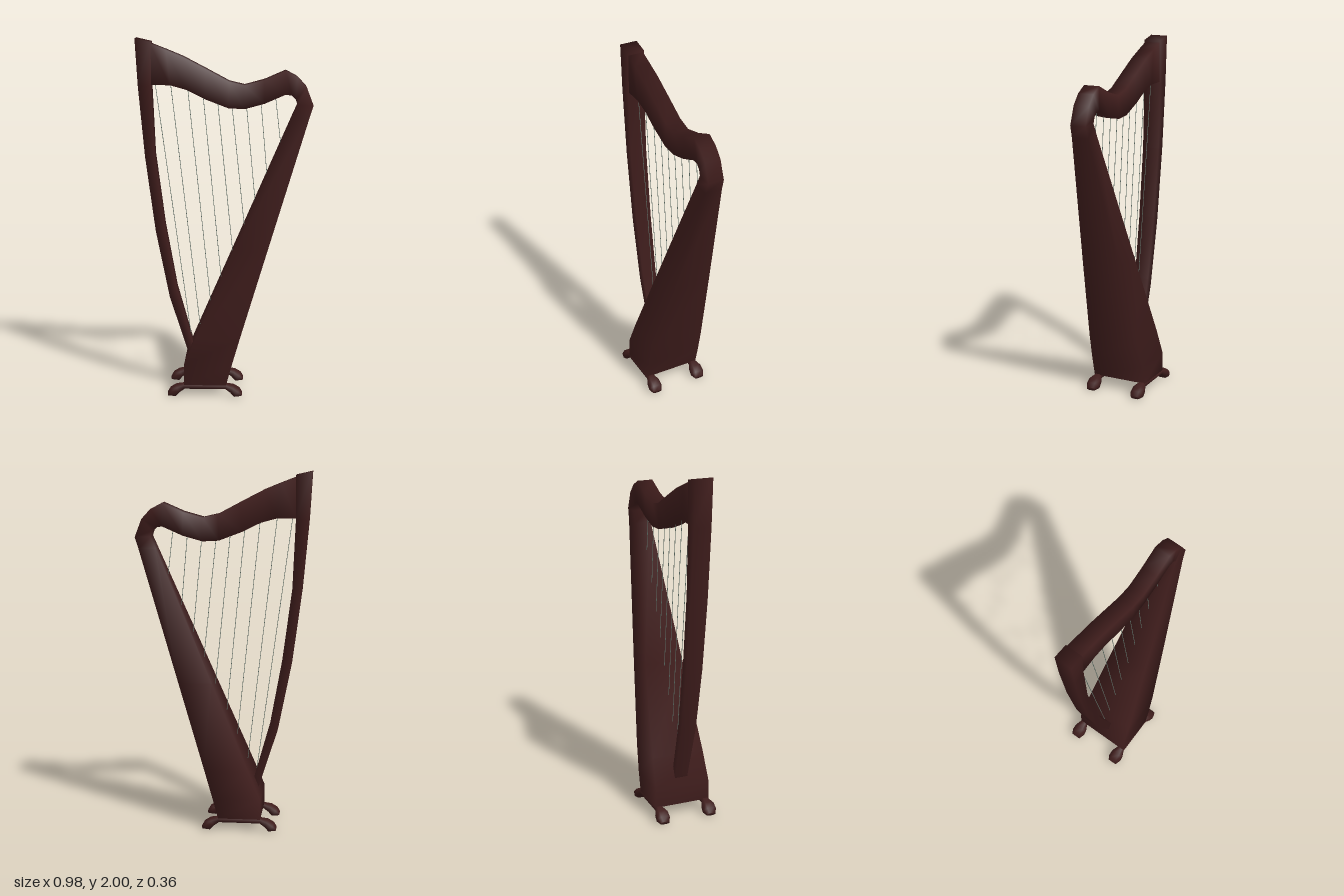
import * as THREE from 'three';

const wood = new THREE.MeshStandardMaterial({ color: 0x3f1d1c });
wood.name = 'dark mahogany';
const gut = new THREE.MeshStandardMaterial({ color: 0x66766d });
gut.name = 'grey green string';

// Skins cross-sections [ax, ay, bx, by, halfDepth]; each is a slab from a to b,
// spread along z, with corners cut by the fraction bevel. Ends are capped,
// softly shaded into the sides or with a sharp edge.
function loft(name, sections, { bevel = 0, softEnds = false } = {}) {
  const k = 1 - bevel;
  const outline = bevel
    ? [[-1, k], [-k, 1], [k, 1], [1, k], [1, -k], [k, -1], [-k, -1], [-1, -k]]
    : [[-1, 1], [1, 1], [1, -1], [-1, -1]];
  const n = outline.length, last = sections.length - 1;
  const pos = [], index = [];
  const addRing = ([ax, ay, bx, by, d]) => {
    for (const [u, w] of outline) {
      const t = (u + 1) / 2;
      pos.push(ax + (bx - ax) * t, ay + (by - ay) * t, w * d);
    }
  };
  sections.forEach(addRing);
  for (let s = 0; s < last; s++) {
    for (let i = 0; i < n; i++) {
      const a = s * n + i, b = s * n + (i + 1) % n;
      index.push(a, b, b + n, a, b + n, a + n);
    }
  }
  let c0 = 0, c1 = last * n;
  if (!softEnds) {
    c0 = pos.length / 3;
    c1 = c0 + n;
    addRing(sections[0]);
    addRing(sections[last]);
  }
  for (let i = 1; i < n - 1; i++) {
    index.push(c0, c0 + i + 1, c0 + i, c1, c1 + i, c1 + i + 1);
  }
  const geo = new THREE.BufferGeometry();
  geo.setAttribute('position', new THREE.Float32BufferAttribute(pos, 3));
  geo.setIndex(index);
  geo.computeVertexNormals();
  const mesh = new THREE.Mesh(geo, wood);
  mesh.name = name;
  return mesh;
}

function stringBetween(a, b) {
  const dir = b.clone().sub(a);
  const mesh = new THREE.Mesh(new THREE.CylinderGeometry(0.0018, 0.0018, dir.length(), 6), gut);
  mesh.position.copy(a).add(b).multiplyScalar(0.5);
  mesh.quaternion.setFromUnitVectors(new THREE.Vector3(0, 1, 0), dir.normalize());
  return mesh;
}

export function createModel() {
  const harp = new THREE.Group();
  harp.name = 'harp';

  // bowed front pillar, from the soundbox up
  harp.add(loft('pillar', [
    [-0.19, 0.16, -0.14, 0.16, 0.036],
    [-0.212, 0.24, -0.175, 0.26, 0.038],
    [-0.31, 0.55, -0.27, 0.6, 0.042],
    [-0.385, 0.93, -0.335, 0.96, 0.046],
    [-0.44, 1.35, -0.387, 1.36, 0.049],
    [-0.475, 1.74, -0.403, 1.74, 0.05],
    [-0.49, 2.0, -0.402, 1.98, 0.05],
  ], { softEnds: true }));

  // S-shaped neck curling over into the leaning soundbox, which widens to the base
  harp.add(loft('neckAndSoundbox', [
    [-0.405, 1.97, -0.405, 1.745, 0.045],
    [-0.32, 1.937, -0.30, 1.745, 0.045],
    [-0.23, 1.9, -0.21, 1.72, 0.045],
    [-0.1, 1.832, -0.11, 1.67, 0.045],
    [0.025, 1.765, 0.02, 1.62, 0.045],
    [0.11, 1.745, 0.11, 1.615, 0.045],
    [0.22, 1.775, 0.22, 1.645, 0.045],
    [0.335, 1.825, 0.335, 1.695, 0.045],
    [0.4, 1.79, 0.37, 1.69, 0.045],
    [0.45, 1.735, 0.39, 1.67, 0.045],
    [0.488, 1.635, 0.4, 1.638, 0.045],
    [0.467, 1.57, 0.37, 1.57, 0.048],
    [0.24, 0.83, 0.053, 0.83, 0.113],
    [0.09, 0.34, -0.157, 0.34, 0.154],
    [0.043, 0.18, -0.225, 0.18, 0.162],
    [0.012, 0.067, -0.225, 0.067, 0.163],
  ]));

  // two foot rails with rounded toes at both ends
  const toe = [
    [-0.317, 0.02, -0.313, 0.003, 0.026],
    [-0.302, 0.045, -0.272, 0.0, 0.037],
    [-0.268, 0.065, -0.25, 0.024, 0.036],
    [-0.228, 0.073, -0.222, 0.042, 0.022],
  ];
  const middle = -0.107;
  const otherToe = toe.map(([ax, ay, bx, by, d]) =>
    [2 * middle - ax, ay, 2 * middle - bx, by, d]).reverse();
  for (const side of [-1, 1]) {
    const foot = loft(side > 0 ? 'frontFootRail' : 'backFootRail',
      [...toe, ...otherToe], { bevel: 0.5, softEnds: true });
    foot.position.z = side * 0.142;
    harp.add(foot);
  }

  // strings from the neck down to the soundboard: [top x, top y, bottom x]
  const strings = new THREE.Group();
  strings.name = 'strings';
  [
    [-0.385, 1.76, -0.185], [-0.3, 1.76, -0.14], [-0.205, 1.73, -0.08],
    [-0.12, 1.69, -0.02], [-0.04, 1.66, 0.045], [0.04, 1.63, 0.11],
    [0.12, 1.63, 0.17], [0.2, 1.65, 0.235], [0.28, 1.68, 0.31],
  ].forEach(([tx, ty, bx], i) => {
    const by = 0.18 + (bx + 0.225) * 2.336 - 0.01;
    const s = stringBetween(new THREE.Vector3(bx, by, 0), new THREE.Vector3(tx, ty, 0));
    s.name = `string${i + 1}`;
    strings.add(s);
  });
  harp.add(strings);

  return harp;
}
